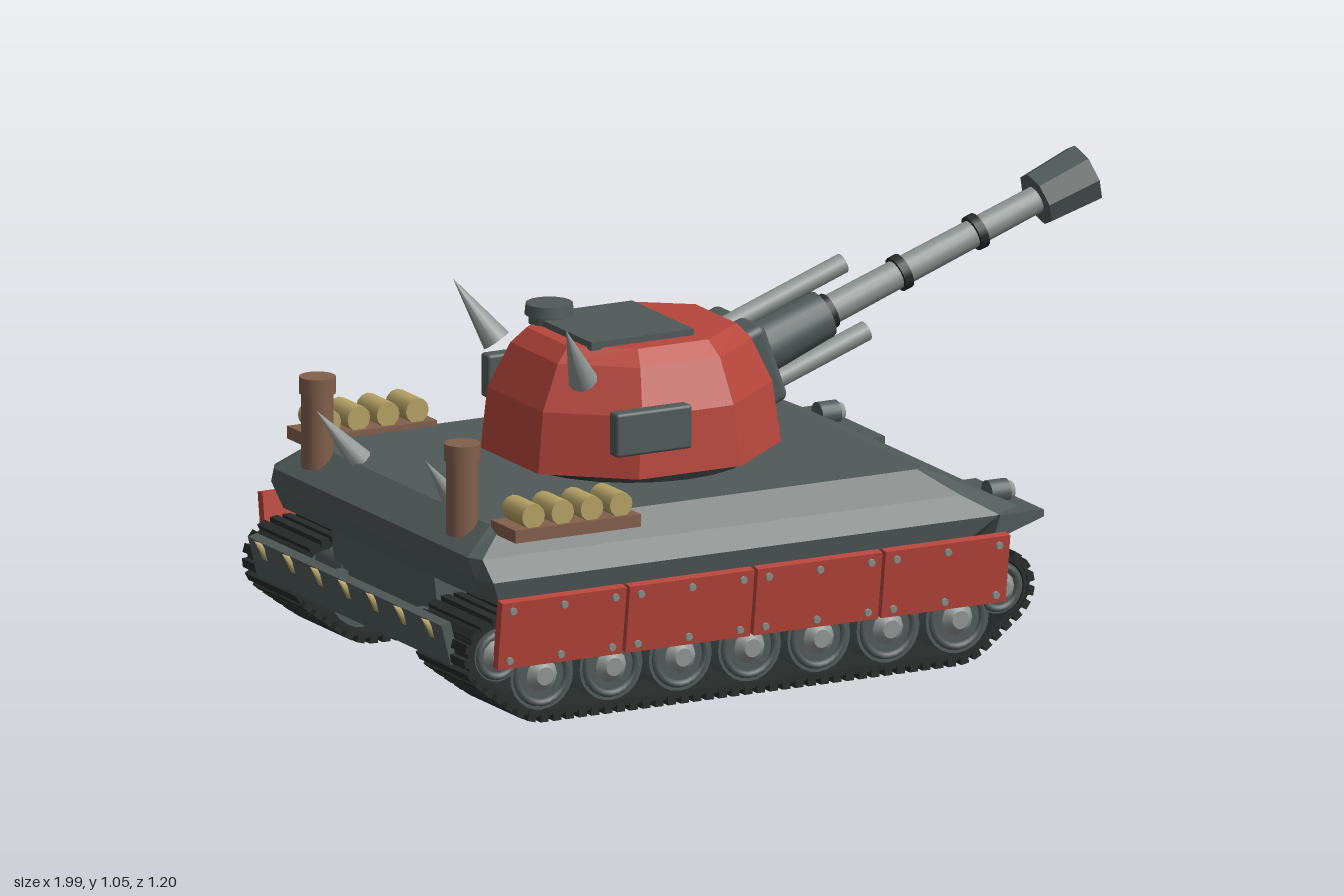
import * as THREE from 'three';
import { RoundedBoxGeometry } from 'three/addons/geometries/RoundedBoxGeometry.js';

const mat = (name, color, extra = {}) => {
  const m = new THREE.MeshStandardMaterial({ color, ...extra });
  m.name = name;
  return m;
};

export function createModel() {
  const hullGrey = mat('hull grey', 0x515a59);
  const trackBlack = mat('track black', 0x272c2b);
  const red = mat('red armour', 0xb8463c);
  const steel = mat('bare steel', 0x8f9694);
  const brown = mat('rusty brown', 0x825f4c);
  const sand = mat('sand', 0xb5a265);

  const tank = new THREE.Group();
  tank.name = 'tank';

  const add = (name, geo, material, pos = [0, 0, 0], parent = tank) => {
    const m = new THREE.Mesh(geo, material);
    m.name = name;
    m.position.set(...pos);
    parent.add(m);
    return m;
  };
  const box = (x, y, z) => new THREE.BoxGeometry(x, y, z);
  const cylX = (r0, r1, len, n = 16) => new THREE.CylinderGeometry(r1, r0, len, n).rotateZ(-Math.PI / 2);
  const cylZ = (r0, r1, len, n = 20) => new THREE.CylinderGeometry(r1, r0, len, n).rotateX(Math.PI / 2);

  // Prism with its profile in x-y, centred on z
  const prism = (pts, width) => new THREE.ExtrudeGeometry(
    new THREE.Shape(pts.map(p => new THREE.Vector2(...p))), { depth: width, bevelEnabled: false }
  ).translate(0, 0, -width / 2);

  // Eight-cornered ring at height y; c0 and c1 cut the back and front corners
  const ring = (y, x0, x1, z, a, c0, c1) => [
    [x1, a], [x1, -a], [x1 - c1, -z], [x0 + c0, -z], [x0, -a], [x0, a], [x0 + c0, z], [x1 - c1, z],
  ].map(([x, w]) => [x, y, w]);

  // Flat-sided solid through a stack of rings, capped at both ends
  const loft = rings => {
    const v = [];
    const n = rings[0].length;
    const tri = (...p) => p.forEach(q => v.push(...q));
    for (let k = 0; k < rings.length - 1; k++) {
      for (let i = 0; i < n; i++) {
        const a = rings[k], b = rings[k + 1], j = (i + 1) % n;
        tri(a[i], a[j], b[j]);
        tri(a[i], b[j], b[i]);
      }
    }
    const lo = rings[0], hi = rings[rings.length - 1];
    for (let i = 1; i < n - 1; i++) {
      tri(hi[0], hi[i], hi[i + 1]);
      tri(lo[0], lo[i + 1], lo[i]);
    }
    const g = new THREE.BufferGeometry();
    g.setAttribute('position', new THREE.Float32BufferAttribute(v, 3));
    g.computeVertexNormals();
    return g;
  };

  // Cone from a base point to a tip
  const spike = (name, base, tip, r, material, n = 10) => {
    const a = new THREE.Vector3(...base), d = new THREE.Vector3(...tip).sub(a);
    const m = add(name, new THREE.ConeGeometry(r, d.length(), n), material, a.clone().addScaledVector(d, 0.5).toArray());
    m.quaternion.setFromUnitVectors(new THREE.Vector3(0, 1, 0), d.normalize());
  };

  // Hull
  add('upperHull', loft([
    ring(0.30, -0.88, 0.46, 0.53, 0.48, 0.02, 0.08),
    ring(0.35, -0.90, 0.535, 0.54, 0.49, 0.02, 0.08),
    ring(0.40, -0.91, 0.43, 0.505, 0.47, 0.02, 0.06),
    ring(0.46, -0.83, 0.305, 0.45, 0.43, 0.02, 0.02),
  ]), hullGrey);
  add('lowerHull', prism([[-0.88, 0.31], [-0.86, 0.13], [-0.82, 0.10], [0.28, 0.10], [0.47, 0.26], [0.47, 0.31]], 0.5), hullGrey);

  // Running gear: each circle is [x, y, radius]; the belt wraps around them all
  const circles = [[-0.865, 0.175, 0.08], [0.455, 0.175, 0.08], [-0.75, 0.115, 0.1], [0.345, 0.115, 0.1]];
  const belt = inset => {
    const pts = [];
    for (let i = 0; i < 96; i++) {
      const t = (i / 96) * Math.PI * 2, nx = Math.cos(t), ny = Math.sin(t);
      const reach = c => c[0] * nx + c[1] * ny + c[2];
      const c = circles.reduce((p, q) => (reach(q) > reach(p) ? q : p));
      pts.push(new THREE.Vector2(c[0] + (c[2] - inset) * nx, c[1] + (c[2] - inset) * ny));
    }
    return pts;
  };
  const beltShape = new THREE.Shape(belt(0));
  beltShape.holes.push(new THREE.Path(belt(0.015)));
  const beltGeo = new THREE.ExtrudeGeometry(beltShape, { depth: 0.24, bevelEnabled: false }).translate(0, 0, -0.12);
  const outline = new THREE.Path([...belt(-0.004), belt(-0.004)[0]]);
  const pads = outline.getSpacedPoints(96);

  for (const s of [1, -1]) {
    const gear = new THREE.Group();
    gear.name = s > 0 ? 'leftRunningGear' : 'rightRunningGear';
    tank.add(gear);
    add('trackBelt', beltGeo, trackBlack, [0, 0, s * 0.415], gear);
    const padGeo = box(0.021, 0.018, 0.25);
    for (let i = 0; i < 96; i++) {
      const p = pads[i], q = pads[i + 1];
      const pad = add('trackPad', padGeo, trackBlack, [(p.x + q.x) / 2, (p.y + q.y) / 2, s * 0.415], gear);
      pad.rotation.z = Math.atan2(q.y - p.y, q.x - p.x);
    }
    const wheel = (name, x, y, r) => {
      add(name, cylZ(r, r, 0.2, 24), hullGrey, [x, y, s * 0.435], gear);
      add(name + 'Rim', new THREE.TorusGeometry(r * 0.8, 0.009, 6, 24), hullGrey, [x, y, s * 0.535], gear);
      add(name + 'Hub', cylZ(s > 0 ? 0.042 : 0.022, s > 0 ? 0.022 : 0.042, 0.02, 12), steel, [x, y, s * 0.543], gear);
    };
    for (let i = 0; i < 7; i++) wheel('roadWheel', -0.75 + i * 0.1825, 0.115, 0.083);
    for (const x of [-0.865, 0.455]) {
      wheel('endWheel', x, 0.175, 0.062);
      add('endAxle', cylZ(0.04, 0.04, 0.16), hullGrey, [x + (x < 0 ? 0.03 : -0.03), 0.21, s * 0.29], gear);
    }

    // Leaning side skirts with bolts
    for (let i = 0; i < 4; i++) {
      const skirt = new THREE.Group();
      skirt.name = 'sideSkirt';
      skirt.position.set(-0.722 + i * 0.337, 0.234, s * 0.571);
      skirt.rotation.x = s * 0.14;
      tank.add(skirt);
      add('skirtPlate', box(0.328, 0.165, 0.024), red, [0, 0, 0], skirt);
      for (const x of [-0.135, 0, 0.135]) for (const y of [-0.062, 0.062]) {
        add('skirtBolt', cylZ(0.009, 0.009, 0.008, 8), steel, [x, y, s * 0.015], skirt);
      }
    }

    // Front mudguard and headlight
    add('mudguard', prism([[0.43, 0.292], [0.565, 0.335], [0.565, 0.352], [0.45, 0.352]], 0.33), hullGrey, [0, 0, s * 0.385]);
    add('headlightCase', cylX(0.029, 0.029, 0.05), hullGrey, [0.515, 0.37, s * 0.412]);
    add('headlightLens', cylX(0.025, 0.02, 0.016), steel, [0.547, 0.37, s * 0.412]);

    // Exhaust stack
    add('exhaustPipe', new THREE.CylinderGeometry(0.038, 0.038, 0.19, 16), brown, [-0.86, 0.52, s * 0.352]);
    add('exhaustCap', new THREE.CylinderGeometry(0.043, 0.043, 0.04, 16), brown, [-0.86, 0.622, s * 0.352]);

    // Tray of rolled bundles
    add('cargoTray', box(0.33, 0.03, 0.12), brown, [-0.665, 0.458, s * 0.495]);
    for (let i = 0; i < 4; i++) {
      add('cargoRoll', cylZ(0.03, 0.03, 0.1, 12), sand, [-0.777 + i * 0.077, 0.499, s * 0.495]);
    }

    // Spikes and turret side boxes
    spike('hullSpike', [-0.81, 0.46, s * 0.235], [-0.91, 0.585, s * 0.265], 0.03, steel);
    spike('turretSpike', [-0.465, 0.71, s * 0.21], [-0.545, 0.855, s * 0.275], 0.035, steel);
    add('turretSideBox', new RoundedBoxGeometry(0.2, 0.105, 0.04, 2, 0.008), hullGrey, [-0.342, 0.6, s * 0.312]);
    add('bladeArm', box(0.1, 0.03, 0.03), hullGrey, [-0.91, 0.2, s * 0.2]);
  }

  // Toothed rear blade
  const blade = add('rearBlade', box(0.025, 0.1, 0.94), hullGrey, [-0.955, 0.2, 0]);
  blade.rotation.z = 0.25;
  for (let i = -3; i <= 3; i++) spike('bladeTooth', [-0.955, 0.215, i * 0.135], [-0.998, 0.252, i * 0.135], 0.022, sand, 6);

  // Turret
  add('turretRing', new THREE.CylinderGeometry(0.28, 0.28, 0.04, 24), trackBlack, [-0.225, 0.47, 0]);
  add('turretShell', loft([
    ring(0.48, -0.545, 0.095, 0.297, 0.14, 0.18, 0.19),
    ring(0.625, -0.53, 0.075, 0.287, 0.135, 0.18, 0.185),
    ring(0.73, -0.48, 0.03, 0.24, 0.115, 0.15, 0.15),
    ring(0.765, -0.445, 0, 0.2, 0.1, 0.13, 0.13),
  ]), red);
  add('roofPlate', box(0.27, 0.02, 0.3), hullGrey, [-0.275, 0.77, 0]);
  add('hatchBase', new THREE.CylinderGeometry(0.048, 0.048, 0.03, 16), hullGrey, [-0.375, 0.778, -0.12]);
  add('hatchLid', new THREE.CylinderGeometry(0.055, 0.058, 0.026, 16), hullGrey, [-0.375, 0.798, -0.12]);

  // Gun, built along x and raised as one
  const gun = new THREE.Group();
  gun.name = 'gun';
  gun.position.set(0.05, 0.646, 0);
  gun.rotation.z = THREE.MathUtils.degToRad(20);
  tank.add(gun);
  add('mantlet', new RoundedBoxGeometry(0.09, 0.2, 0.23, 3, 0.02), hullGrey, [0.01, 0, 0], gun);
  add('barrelSleeve', cylX(0.068, 0.058, 0.24, 16), hullGrey, [0.125, 0, 0], gun);
  add('barrel', cylX(0.036, 0.032, 0.65, 16), steel, [0.54, 0, 0], gun);
  for (const x of [0.254, 0.462, 0.675]) add('barrelBand', cylX(0.043, 0.043, 0.022, 16), trackBlack, [x, 0, 0], gun);
  for (const y of [0.09, -0.09]) add('recoilTube', cylX(0.024, 0.024, 0.34, 12), steel, [0.165, y, 0], gun);
  const brake = cylX(0.066, 0.074, 0.136, 8).toNonIndexed();
  brake.computeVertexNormals();
  add('muzzleBrake', brake, hullGrey, [0.912, 0, 0], gun);

  return tank;
}
